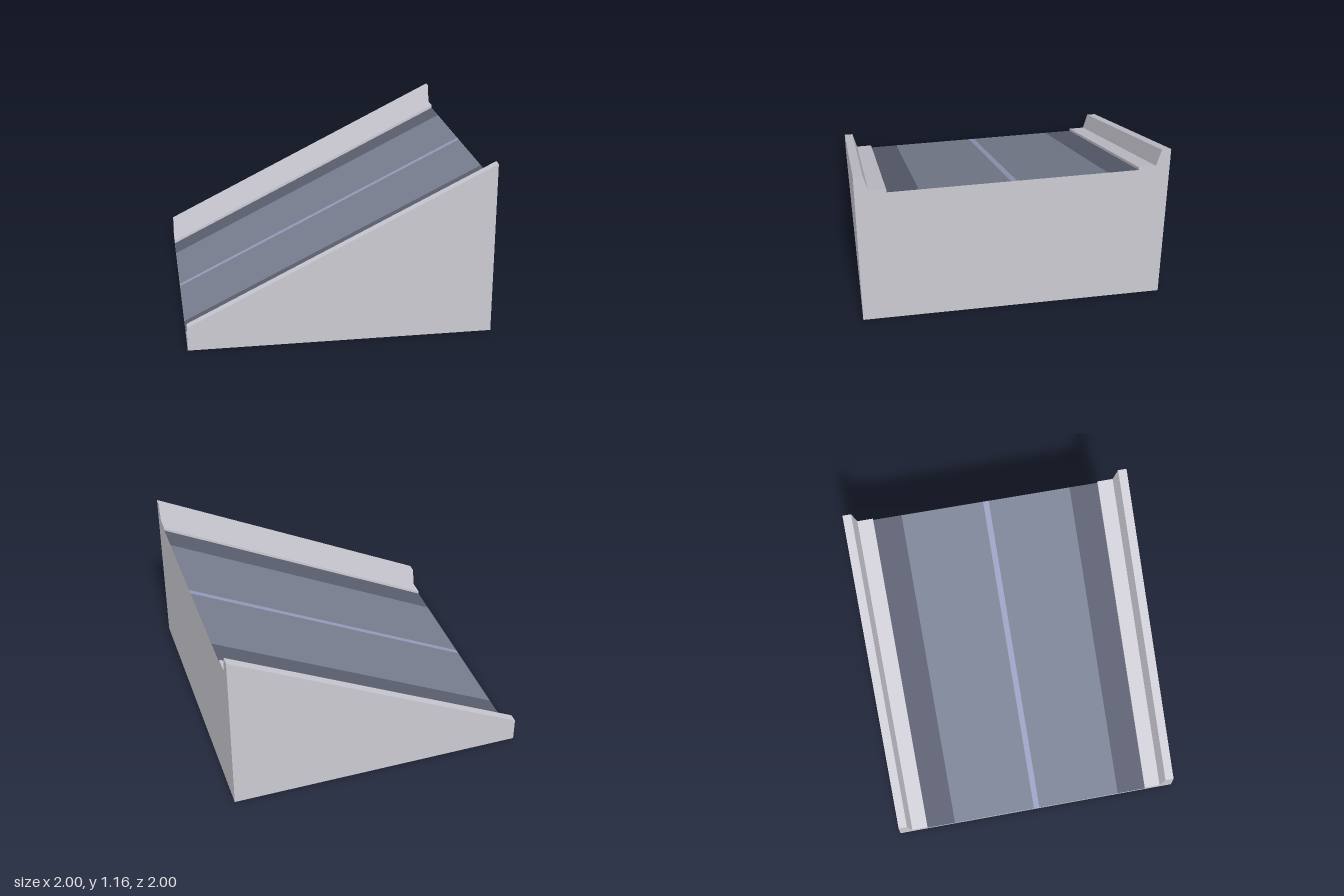
import * as THREE from 'three';

// The cross-section [z, y] is swept along x; everything above the base climbs with x.
const lift = (x, y) => (y > 0 ? y + (x + 1) / 2 : 0);

// Sweeps an open profile from x = -1 to x = 1 with flat faces.
function ribbon(name, points, material) {
  const positions = [];
  for (let i = 0; i < points.length - 1; i++) {
    const [za, ya] = points[i];
    const [zb, yb] = points[i + 1];
    const a = [-1, lift(-1, ya), za], b = [1, lift(1, ya), za];
    const c = [1, lift(1, yb), zb], d = [-1, lift(-1, yb), zb];
    positions.push(...a, ...b, ...c, ...a, ...c, ...d);
  }
  const geometry = new THREE.BufferGeometry();
  geometry.setAttribute('position', new THREE.Float32BufferAttribute(positions, 3));
  geometry.computeVertexNormals();
  const mesh = new THREE.Mesh(geometry, material);
  mesh.name = name;
  return mesh;
}

// Closes one end of the ramp with the outline at that x.
function endWall(name, side, outline, material) {
  const shape = new THREE.Shape(outline.map(([z, y]) => new THREE.Vector2(z, lift(side, y))));
  const mesh = new THREE.Mesh(new THREE.ShapeGeometry(shape), material);
  mesh.name = name;
  mesh.rotation.y = side * Math.PI / 2;
  mesh.position.x = side;
  return mesh;
}

export function createModel() {
  const group = new THREE.Group();
  group.name = 'roadRamp';
  const paint = (color) => new THREE.MeshStandardMaterial({ color });
  const concrete = paint(0xcccad3);
  const asphalt = paint(0x7a8192);
  const shoulder = paint(0x5b6070);
  const marking = paint(0x979dbd);

  // Outer wall, barrier and kerb on the front side, mirrored for the back
  const front = [[1, 0], [1, 0.16], [0.94, 0.16], [0.91, 0.04], [0.8, 0.04], [0.8, 0.02]];
  const back = front.map(([z, y]) => [-z, y]).reverse();
  group.add(ribbon('frontBarrier', front, concrete));
  group.add(ribbon('backBarrier', back, concrete));
  group.add(ribbon('base', [[-1, 0], [1, 0]], concrete));

  // Low and high end walls
  const outline = [...front, ...back];
  group.add(endWall('lowEnd', -1, outline, concrete));
  group.add(endWall('highEnd', 1, outline, concrete));

  // Road surface strips, from front to back
  const road = 0.02;
  const strips = [
    ['frontShoulder', 0.8, 0.6, shoulder],
    ['frontLane', 0.6, 0.02, asphalt],
    ['centreLine', 0.02, -0.02, marking],
    ['backLane', -0.02, -0.6, asphalt],
    ['backShoulder', -0.6, -0.8, shoulder],
  ];
  for (const [name, z0, z1, material] of strips) {
    group.add(ribbon(name, [[z0, road], [z1, road]], material));
  }
  return group;
}
